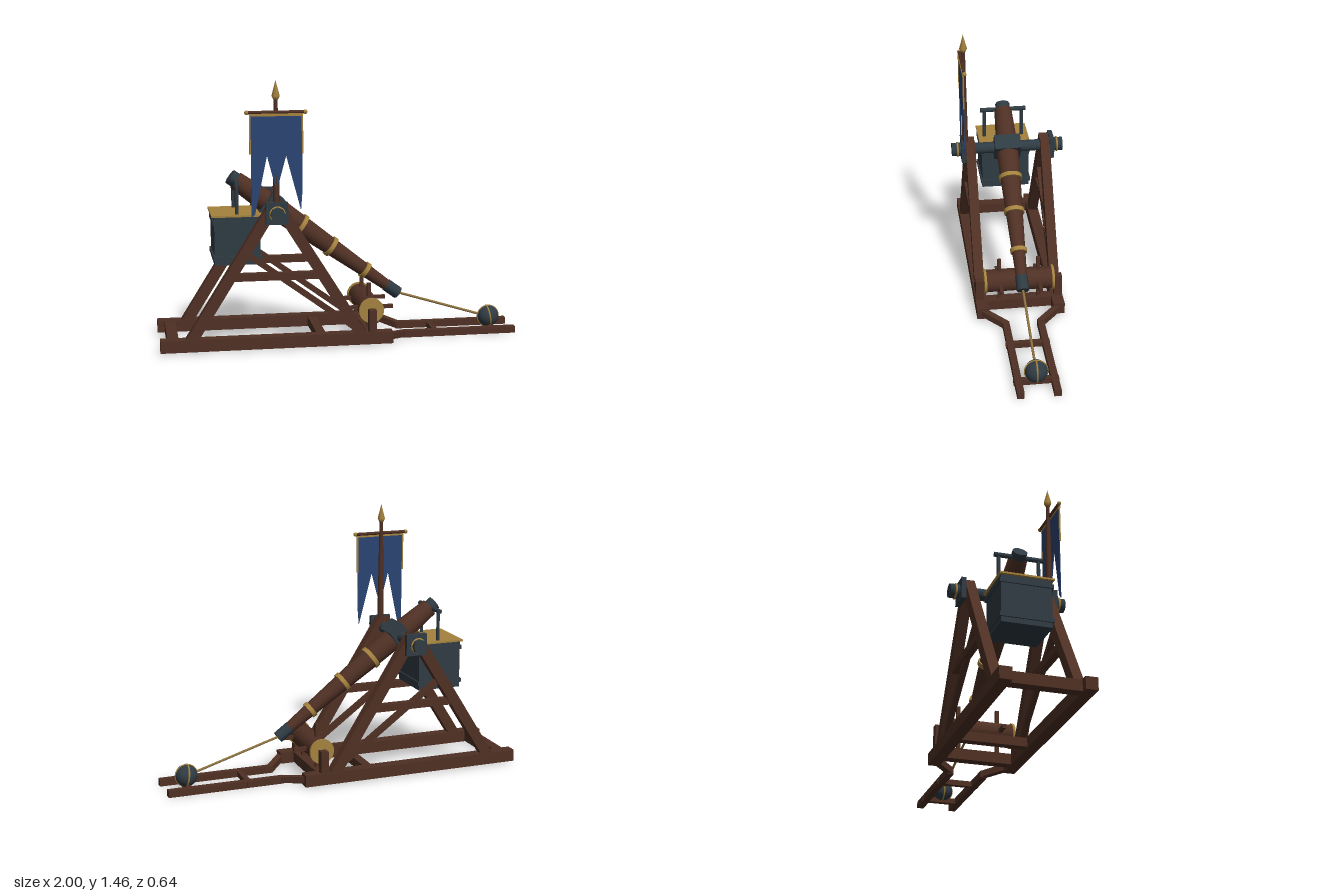
import * as THREE from 'three';

export function createModel() {
  const root = new THREE.Group();
  root.name = 'trebuchet';
  const mat = (name, color, extra = {}) => {
    const m = new THREE.MeshStandardMaterial({ color, ...extra });
    m.name = name;
    return m;
  };
  const wood = mat('wood', 0x4f3024);
  const steel = mat('steel', 0x2f3b43);
  const gold = mat('gold', 0xa5823e);
  const cloth = mat('cloth', 0x2b4472, { side: THREE.DoubleSide });
  const rope = mat('rope', 0x8f7340);

  const add = (name, geo, m, x = 0, y = 0, z = 0, parent = root) => {
    const mesh = new THREE.Mesh(geo, m);
    mesh.name = name;
    mesh.position.set(x, y, z);
    parent.add(mesh);
    return mesh;
  };
  const box = (name, w, h, d, m, x, y, z, parent) =>
    add(name, new THREE.BoxGeometry(w, h, d), m, x, y, z, parent);
  // Square beam between two points
  const beam = (name, a, b, w, h, m) => {
    const A = new THREE.Vector3(...a), B = new THREE.Vector3(...b);
    const mid = A.clone().lerp(B, 0.5);
    const mesh = box(name, w, h, A.distanceTo(B), m, mid.x, mid.y, mid.z);
    mesh.lookAt(B);
    return mesh;
  };
  // Cylinder lying along z
  const rod = (name, r, len, m, x, y, z, seg = 16, parent) =>
    add(name, new THREE.CylinderGeometry(r, r, len, seg).rotateX(Math.PI / 2), m, x, y, z, parent);

  const PX = -0.37, PY = 0.76; // pivot of the throwing arm

  // Base cross beams
  box('rearCrossBeam', 0.06, 0.06, 0.43, wood, -0.93, 0.047, 0);
  box('middleCrossBeam', 0.05, 0.05, 0.43, wood, -0.12, 0.047, 0);
  box('frontCrossBeam', 0.06, 0.06, 0.43, wood, 0.16, 0.047, 0);

  // Mirrored side frames
  for (const s of [1, -1]) {
    const z = s * 0.215;
    box('sideRail', 1.27, 0.066, 0.065, wood, -0.365, 0.047, z);
    for (const k of [1, -1])
      beam('frameLeg', [PX + k * 0.47, 0.06, z], [PX + k * 0.006, 0.805, z], 0.054, 0.06, wood);
    box('frameTie', 0.48, 0.04, 0.04, wood, PX, 0.41, z);
    beam('diagonalBrace', [-0.52, 0.53, s * 0.21], [0.08, 0.09, s * 0.21], 0.03, 0.03, wood);

    // Axle bearing
    box('bearingPlate', 0.12, 0.12, 0.026, steel, PX, PY, s * 0.254);
    rod('axleHub', 0.04, 0.055, steel, PX, PY, s * 0.292, 8);
    add('hubRing', new THREE.TorusGeometry(0.038, 0.006, 8, 20), gold, PX, PY, s * 0.287);

    // Sling trough runners
    beam('runnerConnector', [0.25, 0.05, s * 0.22], [0.36, 0.026, s * 0.097], 0.036, 0.036, wood);
    box('troughRunner', 0.65, 0.038, 0.038, wood, 0.675, 0.024, s * 0.097);

    // Winch supports, flanges and handspikes
    box('winchPost', 0.042, 0.13, 0.045, wood, 0.157, 0.137, s * 0.222);
    rod('winchFlange', 0.07, 0.014, gold, 0.157, 0.19, s * 0.191, 20);
    box('verticalHandspike', 0.02, 0.27, 0.02, wood, 0.157, 0.192, s * 0.11);
    box('horizontalHandspike', 0.27, 0.02, 0.02, wood, 0.157, 0.19, s * 0.11);

    // Counterweight hanger
    add('hangerRod', new THREE.CylinderGeometry(0.01, 0.01, 0.2, 8), steel, -0.57, 0.805, s * 0.11);
  }
  for (const x of [0.545, 0.875])
    box('troughTie', 0.03, 0.03, 0.24, wood, x, 0.022, 0);
  rod('winchDrum', 0.063, 0.375, wood, 0.157, 0.19, 0);
  rod('mainAxle', 0.032, 0.56, steel, PX, PY, 0);

  // Throwing arm, built along its own x axis
  const arm = new THREE.Group();
  arm.name = 'throwingArm';
  arm.position.set(PX, PY, 0);
  arm.rotation.z = -Math.atan(0.734);
  root.add(arm);
  const turned = (name, pts, m, seg) => add(name, new THREE.LatheGeometry(
    pts.map(p => new THREE.Vector2(p[0], p[1])), seg).rotateZ(-Math.PI / 2), m, 0, 0, 0, arm);
  turned('armBeam', [[0, -0.24], [0.05, -0.24], [0.064, 0], [0.058, 0.2], [0.03, 0.83], [0, 0.83]], wood, 16);
  const cap = (name, r, len, t) => add(name,
    new THREE.CylinderGeometry(r, r, len, 8).rotateZ(-Math.PI / 2), steel, t, 0, 0, arm);
  cap('rearCap', 0.042, 0.065, -0.248);
  cap('tipCap', 0.035, 0.085, 0.845);
  box('pivotCollar', 0.09, 0.132, 0.15, steel, 0, 0, 0, arm);
  for (const [t, r] of [[0.2, 0.06], [0.41, 0.051], [0.65, 0.04]])
    add('armBand', new THREE.CylinderGeometry(r + 0.007, r + 0.007, 0.024, 20).rotateZ(-Math.PI / 2),
      gold, t, 0, 0, arm);

  // Counterweight box
  rod('hangerBar', 0.013, 0.265, steel, -0.57, 0.903, 0, 10);
  box('counterweight', 0.25, 0.265, 0.275, steel, -0.57, 0.593, 0);
  for (const y of [0.692, 0.5])
    box('counterweightBand', 0.266, 0.022, 0.29, steel, -0.57, y, 0);
  box('counterweightLid', 0.28, 0.01, 0.295, gold, -0.57, 0.73, 0);

  // Sling and shot
  add('slingRope', new THREE.TubeGeometry(new THREE.LineCurve3(
    new THREE.Vector3(0.34, 0.24, 0), new THREE.Vector3(0.83, 0.09, 0)), 1, 0.007, 8), rope);
  const shot = new THREE.Group();
  shot.name = 'shot';
  shot.position.set(0.872, 0.08, 0);
  shot.rotation.z = 0.15;
  root.add(shot);
  add('shotBall', new THREE.SphereGeometry(0.061, 20, 14), steel, 0, 0, 0, shot);
  for (const a of [0, Math.PI / 2])
    add('shotBand', new THREE.TorusGeometry(0.06, 0.005, 6, 28), gold, 0, 0, 0, shot).rotation.y = a;

  // Banner pole with spearhead
  const BZ = 0.243;
  add('bannerPole', new THREE.CylinderGeometry(0.01, 0.019, 0.6, 12), wood, PX, 1.09, BZ);
  add('spearhead', new THREE.LatheGeometry([[0, 1.365], [0.012, 1.365], [0.022, 1.385], [0, 1.468]]
    .map(p => new THREE.Vector2(p[0], p[1])), 8), gold, PX, 0, BZ);
  add('bannerBar', new THREE.CylinderGeometry(0.009, 0.009, 0.31, 8).rotateZ(Math.PI / 2), wood, PX, 1.3, 0.252);
  for (const s of [1, -1]) {
    add('barEnd', new THREE.SphereGeometry(0.012, 10, 8), gold, PX + s * 0.155, 1.3, 0.252);
    box('bannerEdge', 0.008, 0.21, 0.008, gold, PX + s * 0.139, 1.185, 0.258);
  }
  box('bannerTopTrim', 0.285, 0.014, 0.009, gold, PX, 1.287, 0.259);

  // Swallow-tailed banner cloth
  const outline = [[-0.505, 1.29], [-0.505, 0.74], [-0.485, 0.76], [-0.42, 1.07], [-0.37, 0.88],
    [-0.318, 1.07], [-0.24, 0.775], [-0.232, 0.88], [-0.232, 1.29]];
  const shape = new THREE.Shape(outline.map(p => new THREE.Vector2(p[0], p[1])));
  add('bannerCloth', new THREE.ExtrudeGeometry(shape, { depth: 0.004, bevelEnabled: false }), cloth, 0, 0, 0.255);

  return root;
}
